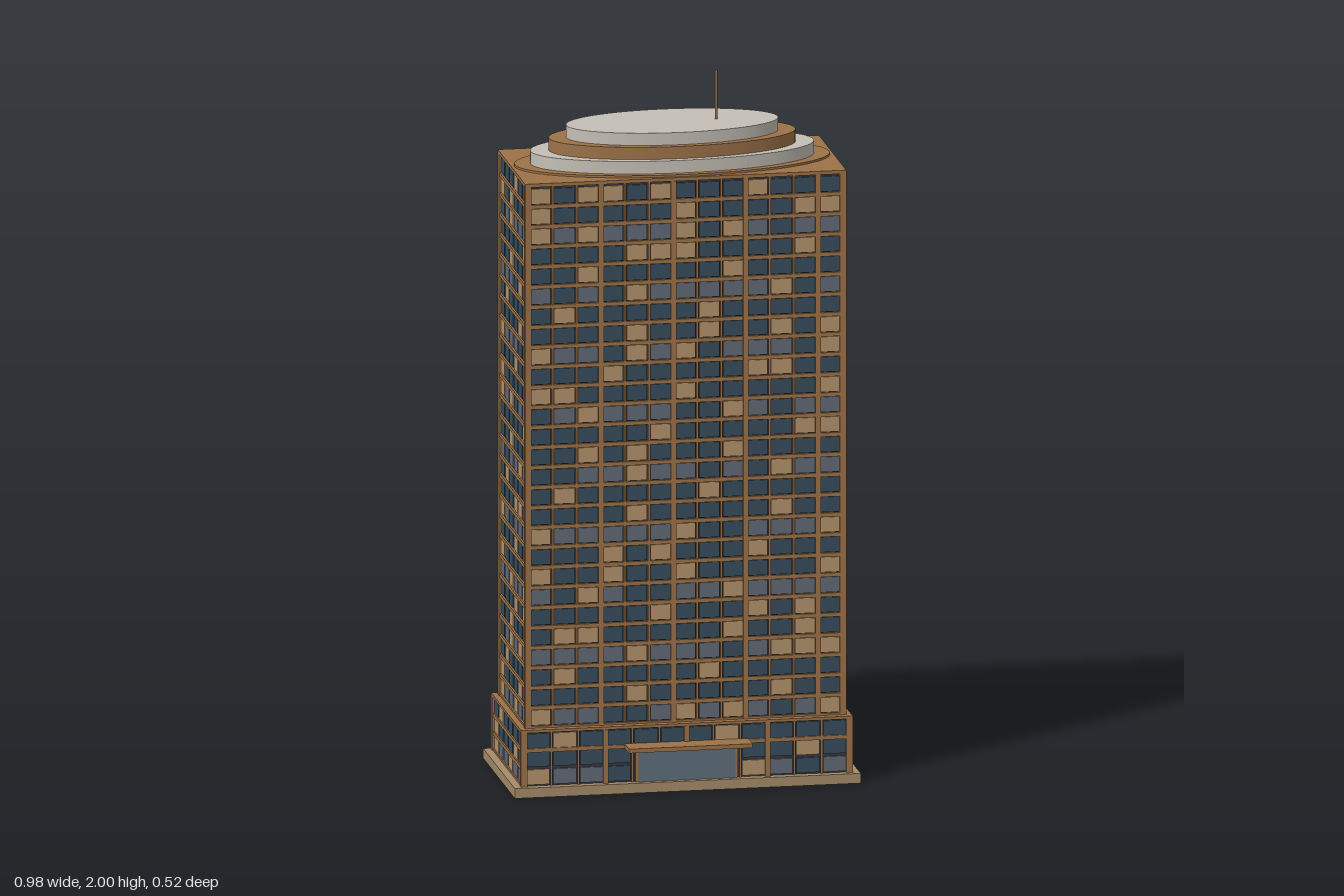
import * as THREE from 'three';
import { mergeGeometries } from 'three/addons/utils/BufferGeometryUtils.js';

const mat = (name, color) => Object.assign(new THREE.MeshStandardMaterial({ color }), { name });

export function createModel() {
  const brown = mat('bronze cladding', 0x9c7248);
  const stone = mat('plinth stone', 0xa58b69);
  const pale = mat('roof concrete', 0xc5c0b6);
  const dark = mat('shadow wall', 0x38373c);
  const glass = mat('dark glass', 0x364d5d);
  const grey = mat('grey glass', 0x626a78);
  const lit = mat('lit window', 0xb5946c);
  const door = mat('entrance glass', 0x5f6f7c);

  const root = new THREE.Group();
  const building = new THREE.Group();
  building.name = 'building';
  building.position.z = -0.0225;
  root.add(building);

  const add = (name, geometry, material, x = 0, y = 0, z = 0) => {
    const mesh = new THREE.Mesh(geometry, material);
    mesh.name = name;
    mesh.position.set(x, y, z);
    building.add(mesh);
    return mesh;
  };
  // Box given by its size and the height of its underside
  const block = (name, material, w, h, d, x, y0, z) =>
    add(name, new THREE.BoxGeometry(w, h, d), material, x, y0 + h / 2, z);

  const mod = (a, n) => ((a % n) + n) % n;
  const hash = (r, c, s) => {
    const v = Math.sin(r * 12.9898 + c * 78.233 + s * 37.719) * 43758.5453;
    return v - Math.floor(v);
  };
  // Repeating pattern of lit, grey and dark windows, row 0 at the top
  const windowKind = (r, c, side) => {
    if (mod(c - 3 - 3 * r + Math.floor((r + 1) / 3), 6) === 0) return 'lit';
    const h = hash(r, c, side);
    if (h < 0.06) return 'lit';
    return r % 3 === 2 && h < 0.8 ? 'grey' : 'glass';
  };

  // One face of a storey block: windows, floor bands and mullions, turned to its side
  function facade(name, side, o) {
    const broad = side % 2 === 0;
    const span = 2 * (broad ? o.hx : o.hz) - 0.022;
    const out = broad ? o.hz : o.hx;
    const cols = broad ? o.cols : 6;
    const pitch = span / cols, rise = (o.top - o.bottom) / o.rows;
    const parts = { lit: [], grey: [], glass: [], frame: [] };
    const put = (kind, w, h, d, x, y, z) =>
      parts[kind].push(new THREE.BoxGeometry(w, h, d).translate(x, y, z));

    for (let r = 0; r < o.rows; r++) {
      const y = o.top - (r + 0.5) * rise;
      for (let c = 0; c < cols; c++) {
        const x = (c + 0.5) * pitch - span / 2;
        if (o.skip && side === 0 && r > 0 && Math.abs(x) < 0.14) continue;
        put(windowKind(r + o.seed, c, side), pitch - 0.011, 0.043, 0.004, x, y, out - 0.008);
      }
      if (!(o.skip && side === 0 && r > 0))
        put('frame', span, 0.011, 0.007, 0, y - rise / 2, out - 0.0055);
    }
    if (broad) for (let c = 1; c < cols; c++) {
      const major = c % 3 === 0;
      const x = c * pitch - span / 2;
      const low = o.skip && side === 0 && Math.abs(x) < 0.14 ? o.top - rise : o.bottom;
      put('frame', major ? 0.015 : 0.006, o.top - low, major ? 0.01 : 0.005,
        x, (o.top + low) / 2, out - (major ? 0.004 : 0.006));
    }
    const group = new THREE.Group();
    group.name = name;
    group.rotation.y = side * Math.PI / 2;
    const mats = { lit, grey, glass, frame: brown };
    for (const kind in parts) {
      if (!parts[kind].length) continue;
      const mesh = new THREE.Mesh(mergeGeometries(parts[kind]), mats[kind]);
      mesh.name = kind + 'Panels';
      group.add(mesh);
    }
    building.add(group);
  }

  // Dark core, corner posts, cap and four facades
  function storeys(name, o) {
    block(name + 'Core', dark, 2 * o.hx - 0.02, o.top - o.bottom, 2 * o.hz - 0.02, 0, o.bottom, 0);
    block(name + 'Cap', brown, 2 * o.hx, o.cap, 2 * o.hz, 0, o.top, 0);
    for (const sx of [-1, 1]) for (const sz of [-1, 1])
      block(name + 'CornerPost', brown, 0.018, o.top - o.bottom, 0.018,
        sx * (o.hx - 0.009), o.bottom, sz * (o.hz - 0.009));
    ['Front', 'Left', 'Back', 'Right'].forEach((s, i) => facade(name + s, i, o));
  }

  block('plinth', stone, 0.978, 0.028, 0.479, 0, 0, 0);
  storeys('podium', { hx: 0.469, hz: 0.226, bottom: 0.028, top: 0.182, cap: 0.008, cols: 12, rows: 3, seed: 24, skip: true });
  storeys('tower', { hx: 0.454, hz: 0.207, bottom: 0.19, top: 1.738, cap: 0.01, cols: 13, rows: 27, seed: 0 });

  // Entrance and canopy
  block('entranceDoor', door, 0.275, 0.098, 0.012, 0, 0.028, 0.219);
  for (const s of [-1, 1]) block('entranceJamb', brown, 0.008, 0.098, 0.014, s * 0.141, 0.028, 0.219);
  block('entranceCanopy', brown, 0.35, 0.012, 0.066, 0, 0.126, 0.2515);

  // Stepped oval roof tiers: radius x, radius z, base, height
  [[0.445, 0.198, 1.746, 0.008, brown], [0.4, 0.179, 1.754, 0.036, pale],
    [0.348, 0.159, 1.79, 0.035, brown], [0.299, 0.139, 1.825, 0.035, pale]].forEach(([rx, rz, y, h, m], i) =>
    add('roofTier' + (i + 1), new THREE.CylinderGeometry(1, 1, h, 64).scale(rx, 1, rz), m, 0, y + h / 2, 0));

  add('antenna', new THREE.CylinderGeometry(0.004, 0.004, 0.14, 8), brown, 0.125, 1.93, 0);
  return root;
}
